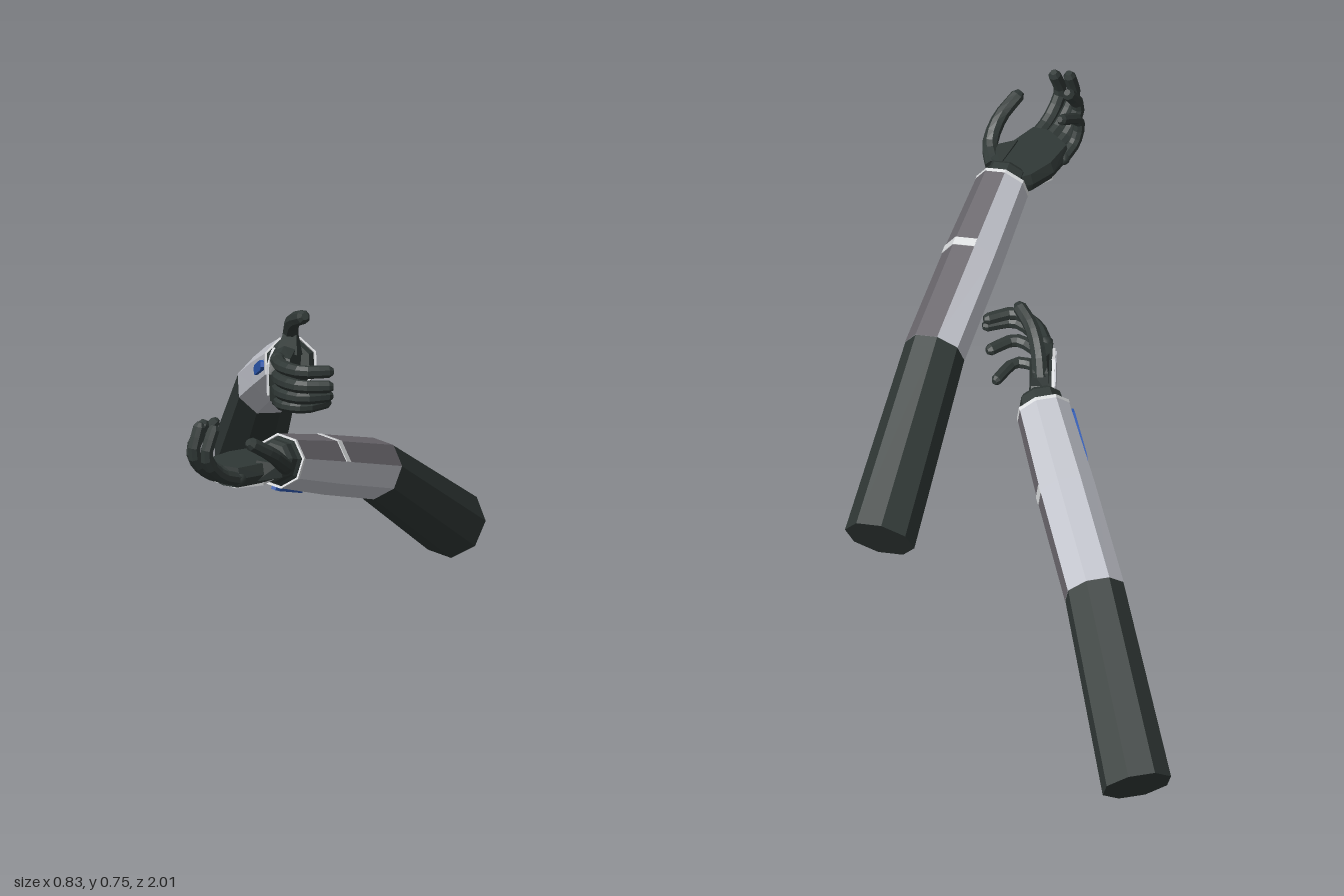
import * as THREE from 'three';
import { ConvexGeometry } from 'three/addons/geometries/ConvexGeometry.js';

const V = (x, y, z) => new THREE.Vector3(x, y, z);
const ALL = [0, 1, 2, 3, 4, 5, 6, 7];

const mat = (name, color) => {
  const m = new THREE.MeshStandardMaterial({ color });
  m.name = name;
  return m;
};

// Faceted eight-sided skin through rings { p, dir, r }; only the chosen facets are built
function loft(rings, ref, { facets = ALL, capped = true } = {}) {
  const pos = [];
  const loops = rings.map(({ p, dir, r }) => {
    const d = dir.clone().normalize();
    const u = ref.clone().addScaledVector(d, -ref.dot(d)).normalize();
    const v = d.clone().cross(u);
    return ALL.map((i) => {
      const a = ((i + 0.5) / 8) * Math.PI * 2;
      return p.clone().addScaledVector(u, r * Math.cos(a)).addScaledVector(v, r * Math.sin(a));
    });
  });
  const tri = (...pts) => pts.forEach((q) => pos.push(q.x, q.y, q.z));
  for (let k = 0; k < loops.length - 1; k++) {
    const a = loops[k], b = loops[k + 1];
    for (const i of facets) {
      const j = (i + 1) % 8;
      tri(a[i], a[j], b[j]);
      tri(a[i], b[j], b[i]);
    }
  }
  if (capped) {
    const s = loops[0], e = loops[loops.length - 1];
    for (let i = 1; i < 7; i++) {
      tri(s[0], s[i + 1], s[i]);
      tri(e[0], e[i], e[i + 1]);
    }
  }
  const g = new THREE.BufferGeometry();
  g.setAttribute('position', new THREE.Float32BufferAttribute(pos, 3));
  g.computeVertexNormals();
  return g;
}

// Curved digit with a rounded tip
function digit(points, r, ref) {
  const curve = new THREE.CatmullRomCurve3(points);
  const rings = [];
  for (let i = 0; i <= 8; i++) {
    const t = i / 8;
    rings.push({ p: curve.getPoint(t), dir: curve.getTangent(t), r: r * (1.08 - 0.16 * t) });
  }
  const end = curve.getTangent(1);
  rings.push({ p: points[points.length - 1].clone().addScaledVector(end, r * 0.65), dir: end, r: r * 0.5 });
  return loft(rings, ref);
}

function buildArm({ name, shoulder, elbow, wrist, roll, forward, normal, thumbDir, thumb }, M) {
  const arm = new THREE.Group();
  arm.name = name;
  const add = (part, geo, m) => {
    const mesh = new THREE.Mesh(geo, m);
    mesh.name = part;
    arm.add(mesh);
  };

  // Arm frame: n across the inner facet, s to its side
  const upDir = elbow.clone().sub(shoulder).normalize();
  const foreDir = wrist.clone().sub(elbow).normalize();
  const miter = upDir.clone().add(foreDir).normalize();
  const n = normal.clone().addScaledVector(foreDir, -normal.dot(foreDir)).normalize().applyAxisAngle(foreDir, roll);
  const s = foreDir.clone().cross(n);
  const onArm = (t, side, out) => elbow.clone().lerp(wrist, t).addScaledVector(s, side).addScaledVector(n, out);

  // Upper arm and forearm share a mitred elbow
  add('upperArm', loft([
    { p: shoulder, dir: upDir, r: 0.085 },
    { p: elbow, dir: miter, r: 0.073 },
  ], n), M.dark);
  const foreRings = [
    { p: elbow, dir: miter, r: 0.074 },
    { p: onArm(0.55, 0, 0), dir: foreDir, r: 0.072 },
    { p: wrist, dir: foreDir, r: 0.065 },
  ];
  add('forearmShell', loft(foreRings, n, { facets: [0, 1, 2, 3, 4, 5], capped: false }), M.shell);
  add('forearmInnerPanel', loft(foreRings, n, { facets: [6, 7], capped: false }), M.panel);

  // Light rim and dark collar at the wrist opening
  const along = (d, r) => ({ p: wrist.clone().addScaledVector(foreDir, d), dir: foreDir, r });
  add('wristRim', loft([along(-0.004, 0.066), along(0.005, 0.066), along(0.005, 0.061), along(-0.01, 0.061)], n, { capped: false }), M.trim);
  add('wristCollar', loft([along(-0.01, 0.061), along(0.004, 0.059), along(0.012, 0.053),
    along(0.035, 0.051), along(0.045, 0.042)], n), M.dark);

  // Light band across the two panel facets
  for (const turn of [-1, 0]) {
    const pts = [];
    for (const t of [0.535, 0.58]) for (const r of [0.069, 0.0735]) for (const e of [-0.5, 0.5]) {
      const a = (turn + e) * Math.PI / 4;
      pts.push(onArm(t, r * Math.sin(a), r * Math.cos(a)));
    }
    add('forearmBand', new ConvexGeometry(pts), M.trim);
  }

  // Blue strip on the outer facet
  const strip = [];
  for (const [t, w] of [[0.69, 0.006], [0.715, 0.012], [0.955, 0.012], [0.98, 0.006]])
    for (const side of [-w, w]) for (const out of [0.062, 0.0705]) strip.push(onArm(t, side, -out));
  add('blueStrip', new ConvexGeometry(strip), M.blue);

  // Hand frame: t toward the thumb, o out of the palm, f along the hand
  const F = forward.clone().normalize();
  const T = thumbDir.clone().addScaledVector(F, -thumbDir.dot(F)).normalize();
  const N = normal.clone().addScaledVector(F, -normal.dot(F)).normalize();
  const H = ([t, o, f]) => wrist.clone().addScaledVector(T, t).addScaledVector(N, o).addScaledVector(F, f);

  const outline = [[0.04, 0.02], [0.064, 0.06], [0.07, 0.12], [0.062, 0.195], [0.02, 0.208],
    [-0.058, 0.185], [-0.07, 0.11], [-0.058, 0.045], [-0.04, 0.02]];
  add('palm', new ConvexGeometry(outline.flatMap(([t, f]) => [
    H([t * 0.88, -0.018, f]), H([t, 0.004, f]), H([t * 0.88, 0.03, f])])), M.dark);
  add('thumbMound', new ConvexGeometry([[0.03, -0.012, 0.025], [0.03, 0.034, 0.035], [0.078, -0.01, 0.045],
    [0.078, 0.026, 0.045], [0.094, -0.004, 0.085], [0.09, 0.028, 0.09], [0.05, 0.036, 0.13], [0.06, -0.012, 0.14]].map(H)), M.dark);

  // Six-sided guard on the back of the hand: pale edge under a grey face
  const plate = (scale, lo, hi) => new ConvexGeometry(
    [[0.036, -0.07], [0.062, 0], [0.038, 0.07], [-0.038, 0.07], [-0.062, 0], [-0.036, -0.07]].flatMap(([t, f]) =>
      [lo, hi].map((o) => H([t * scale, o, 0.115 + f * scale]))));
  add('handGuardEdge', plate(1, -0.025, -0.017), M.trim);
  add('handGuardFace', plate(0.9, -0.028, -0.024), M.shell);

  // Four fingers, curling more toward the smallest
  const open = [[0, 0.19], [0.022, 0.255], [0.075, 0.305], [0.14, 0.29]];
  const curled = [[0, 0.17], [0.02, 0.218], [0.07, 0.235], [0.115, 0.17]];
  ['index', 'middle', 'ring', 'little'].forEach((label, i) => {
    const k = [0.12, 0, 0.4, 1][i];
    const t = 0.049 - i * 0.0335;
    const pts = open.map(([o, f], j) => H([t, o + (curled[j][0] - o) * k, f + (curled[j][1] - f) * k]));
    const r = i === 3 ? 0.0145 : 0.0165;
    add(label + 'Finger', digit(pts, r, T), M.dark);
    const knuckle = new THREE.IcosahedronGeometry(r * 1.2, 1);
    knuckle.translate(pts[0].x, pts[0].y, pts[0].z);
    add(label + 'Knuckle', knuckle, M.dark);
  });
  add('thumb', digit(thumb.map(H), 0.0185, N), M.dark);
  return arm;
}

export function createModel() {
  const M = {
    dark: mat('dark charcoal', 0x303836),
    shell: mat('armour silver', 0xc2c4cc),
    panel: mat('panel grey', 0x6c696f),
    trim: mat('pale trim', 0xdcdee0),
    blue: mat('blue accent', 0x2c58b0),
  };
  const model = new THREE.Group();
  model.name = 'pairOfArms';
  // Right arm: thumb up, palm facing inward
  model.add(buildArm({
    name: 'rightArm', roll: 0.13,
    shoulder: V(-0.336, 0.069, -0.945), elbow: V(-0.207, 0.357, -0.568), wrist: V(-0.053, 0.557, -0.127),
    forward: V(0.05, 0.08, 1), normal: V(1, 0, 0), thumbDir: V(0, 1, 0),
    thumb: [[0.06, 0.008, 0.05], [0.105, 0.014, 0.09], [0.138, 0.03, 0.14], [0.158, 0.06, 0.19]],
  }, M));
  // Left arm: palm facing up, thumb outward
  model.add(buildArm({
    name: 'leftArm', roll: -0.17,
    shoulder: V(0.333, 0.179, -0.15), elbow: V(0.233, 0.435, 0.262), wrist: V(0.108, 0.588, 0.725),
    forward: V(-0.54, 0.04, 0.84), normal: V(0, 1, 0), thumbDir: V(0.84, 0, 0.54),
    thumb: [[0.06, 0.008, 0.045], [0.1, 0.025, 0.085], [0.112, 0.065, 0.14], [0.102, 0.1, 0.2]],
  }, M));
  return model;
}
